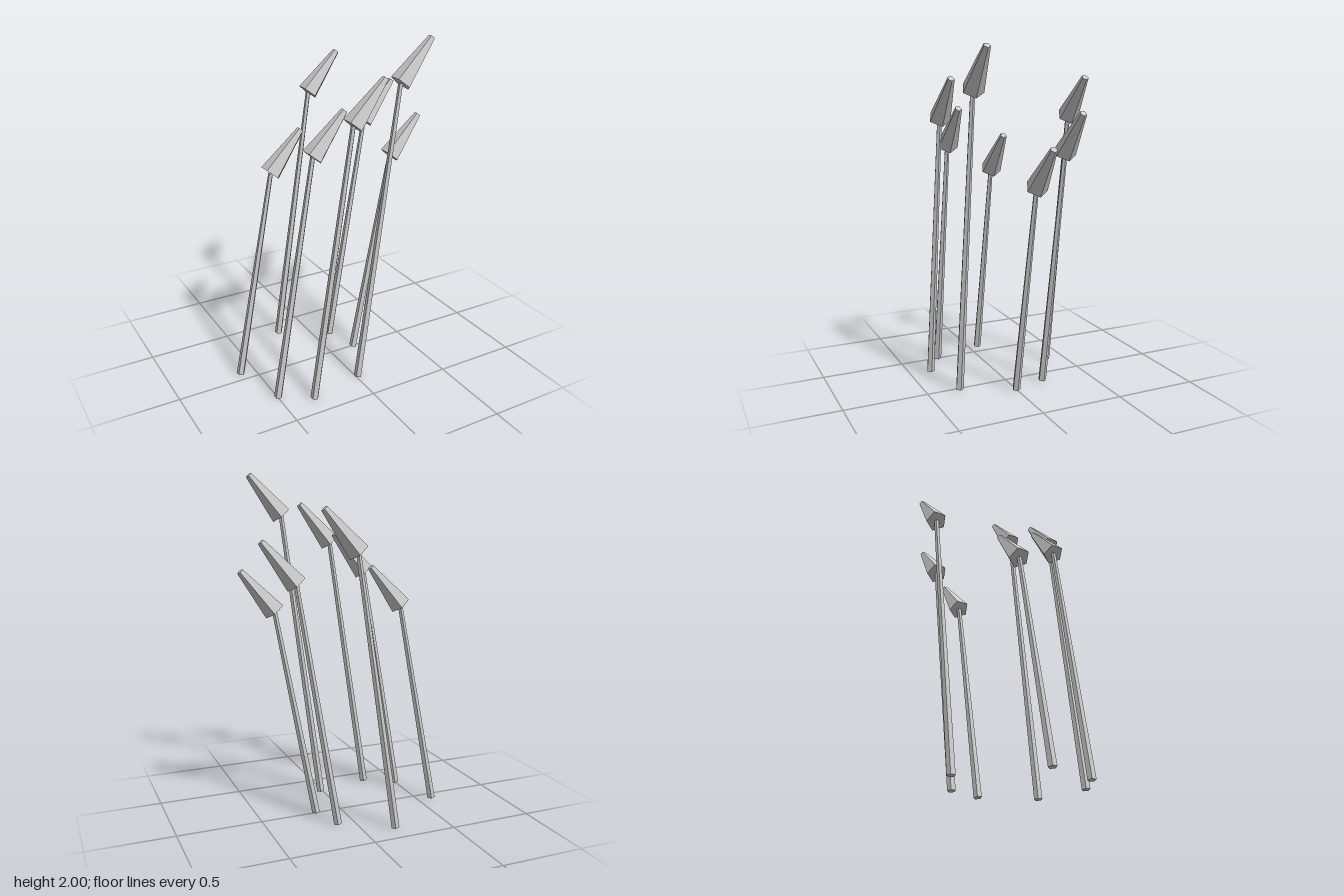
import * as THREE from 'three';

const SIDES = 5;
const LEAN = 0.24;                               // sideways reach of every stem
const HEAD_LENGTH = 0.297;
const HEAD_TILT = THREE.MathUtils.degToRad(40);

// base x, base z, height at which the head sits on the stem
const STALKS = [
  [-0.186, -0.374, 1.591],
  [0.100, -0.200, 1.418],
  [-0.592, -0.062, 1.246],
  [0.160, 0.003, 1.246],
  [-0.497, 0.259, 1.418],
  [0.013, 0.305, 1.762],
  [-0.318, 0.370, 1.591],
];

// Five-sided taper standing on its origin, with one corner towards +x
function taper(topRadius, bottomRadius, length) {
  return new THREE.CylinderGeometry(topRadius, bottomRadius, length, SIDES, 1, false, Math.PI / 2)
    .translate(0, length / 2, 0);
}

export function createModel() {
  const group = new THREE.Group();
  group.name = 'stalks';
  const material = new THREE.MeshStandardMaterial({ color: 0xcccccc, flatShading: true });
  const headGeometry = taper(0.02, 0.063, HEAD_LENGTH);

  for (const [x, z, height] of STALKS) {
    const stalk = new THREE.Group();
    stalk.name = 'stalk';
    stalk.position.set(x, 0.004, z);

    // Slender leaning stem
    const rise = height - 0.004;
    const stem = new THREE.Mesh(taper(0.014, 0.024, Math.hypot(LEAN, rise)), material);
    stem.name = 'stem';
    stem.rotation.z = -Math.atan2(LEAN, rise);

    // Tapered head, tilted further than the stem
    const head = new THREE.Mesh(headGeometry, material);
    head.name = 'head';
    head.position.set(LEAN, rise, 0);
    head.rotation.z = -HEAD_TILT;

    stalk.add(stem, head);
    group.add(stalk);
  }
  return group;
}
